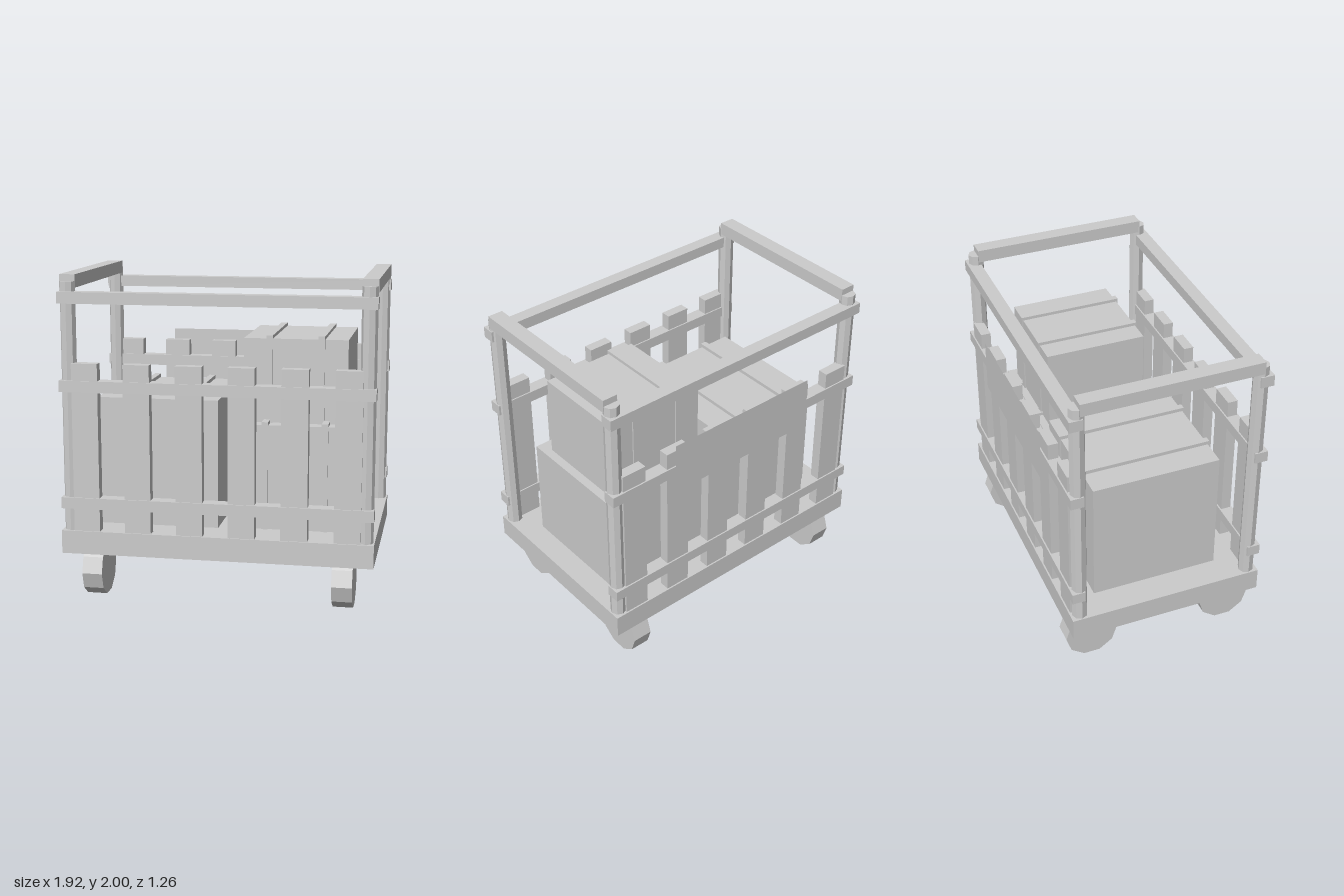
import * as THREE from 'three';

export function createModel() {
  const cart = new THREE.Group();
  cart.name = 'luggageCart';
  const grey = new THREE.MeshStandardMaterial({ color: 0xcccccc });
  grey.name = 'plain grey';
  grey.flatShading = true;
  const signGrey = grey;
  signGrey.side = THREE.DoubleSide;

  function add(name, geometry, parent = cart) {
    const mesh = new THREE.Mesh(geometry, grey);
    mesh.name = name;
    parent.add(mesh);
    return mesh;
  }

  // box given by its limits along each axis
  function block(name, [x0, x1], [y0, y1], [z0, z1], parent) {
    const mesh = add(name, new THREE.BoxGeometry(x1 - x0, y1 - y0, z1 - z0), parent);
    mesh.position.set((x0 + x1) / 2, (y0 + y1) / 2, (z0 + z1) / 2);
    return mesh;
  }

  const midZ = 0.0125; // the cart body sits slightly forward of the sign

  block('platform', [-0.96, 0.96], [0.285, 0.43], [-0.605, 0.63]);

  // ten-sided wheels, flat side down
  const wheelShape = new THREE.CylinderGeometry(0.168, 0.168, 0.125, 10);
  wheelShape.rotateZ(Math.PI / 2);
  wheelShape.rotateX(Math.PI / 10);

  // make a flat face, not a corner, touch the ground
  wheelShape.computeBoundingBox();
  if (wheelShape.boundingBox.min.y < -0.165) wheelShape.rotateX(Math.PI / 10);

  const postShape = new THREE.CylinderGeometry(0.048, 0.048, 1.53, 8);

  for (const side of [-1, 1]) {
    const sideName = side > 0 ? 'left' : 'right';

    // top bar joining the front and back posts
    const bar = block(sideName + 'TopBar', [-0.048, 0.048], [1.92, 2], [-0.54, 0.57]);
    bar.position.x = side * 0.907;

    for (const end of [-1, 1]) {
      const name = (end > 0 ? 'Front' : 'Back');
      add(sideName + name + 'Wheel', wheelShape)
        .position.set(side * 0.772, 0.16, midZ + end * 0.452);
      add(sideName + name + 'Post', postShape)
        .position.set(side * 0.905, 1.195, midZ + end * 0.556);
    }
  }

  // front and back fences: three rails and six slats each
  for (const end of [-1, 1]) {
    const fence = new THREE.Group();
    fence.name = end > 0 ? 'frontFence' : 'backFence';
    fence.position.z = midZ + end * 0.576;
    cart.add(fence);
    for (const y of [0.57, 1.295, 1.83]) {
      block('rail', [-0.957, 0.957], [y, y + 0.07], [-0.041, 0.041], fence);
    }
    for (let i = 0; i < 6; i++) {
      const x = -0.799 + i * 0.3196;
      block('slat', [x - 0.081, x + 0.081], [0.43, 1.47], [-0.032, 0.032], fence);
    }
  }

  // suitcases, each wrapped by two straps
  function suitcase(name, x, y, z, lift, straps) {
    const group = new THREE.Group();
    group.name = name;
    cart.add(group);
    block('caseBody', x, y, z, group);
    for (const s of straps) {
      block('strap', [s - 0.02, s + 0.02], [y[0], y[1] + lift], [z[0] - 0.01, z[1] + 0.01], group);
    }
  }
  suitcase('largeCase', [-0.775, -0.02], [0.43, 1.232], [-0.4, 0.41], 0.023, [-0.588, -0.214]);
  suitcase('mediumCase', [0.08, 0.815], [0.43, 1.085], [-0.4, 0.38], 0.02, [0.266, 0.634]);
  suitcase('smallCase', [0.12, 0.76], [1.085, 1.605], [-0.35, 0.29], 0.02, [0.279, 0.598]);

  // thin blank sign on the back
  const sign = add('backSign', new THREE.PlaneGeometry(1.04, 0.335));
  sign.rotation.y = Math.PI;
  sign.position.set(0, 1.367, -0.628);

  return cart;
}
